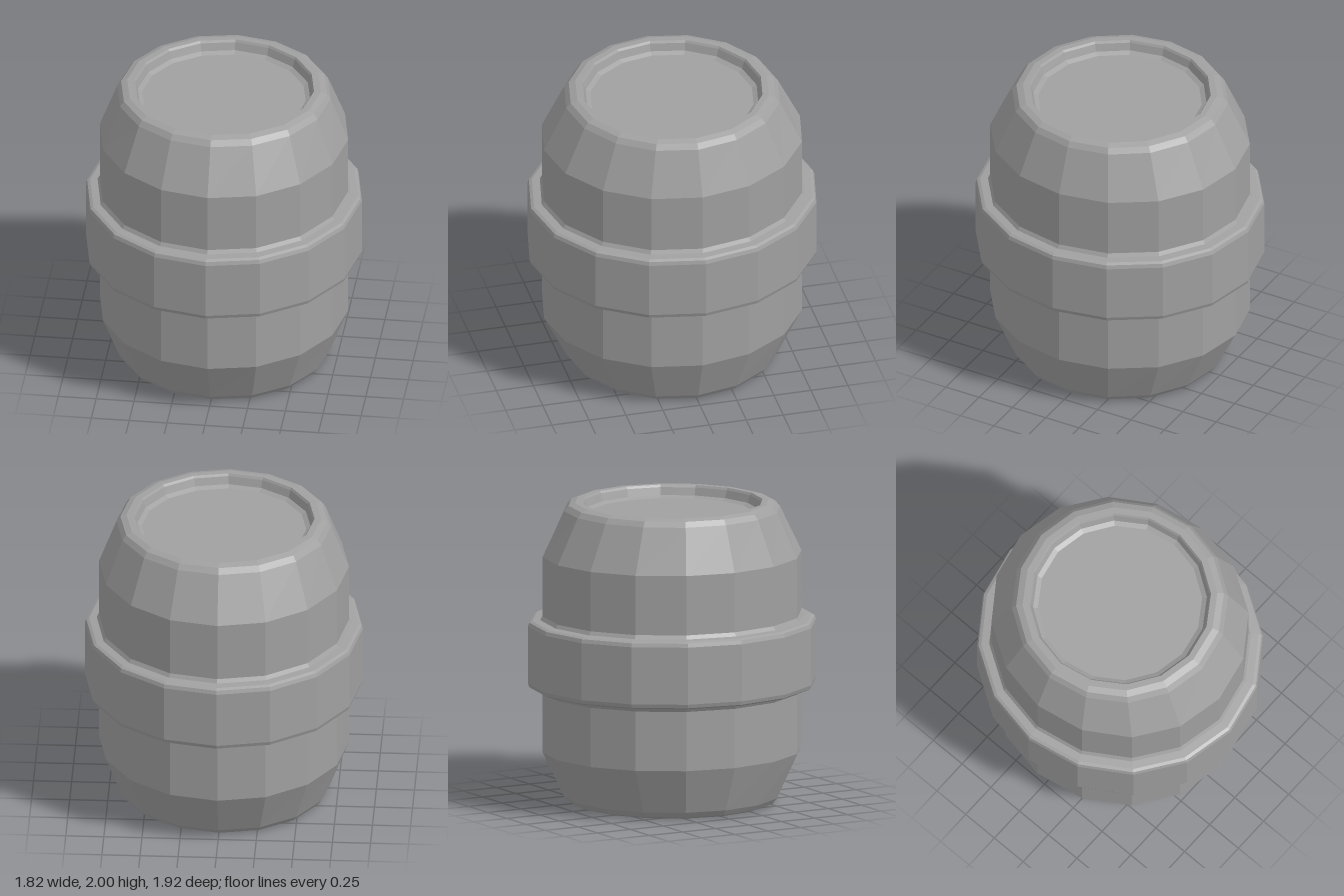
import * as THREE from 'three';

const SIDES = 16;

// Surface through a stack of 16-sided oval rings, each [radiusX, radiusZ, y], listed bottom to top
function ringSurface(rings) {
  const positions = [], index = [];
  for (const [rx, rz, y] of rings) {
    for (let i = 0; i < SIDES; i++) {
      const a = (i / SIDES) * Math.PI * 2;
      positions.push(Math.sin(a) * rx, y, Math.cos(a) * rz);
    }
  }
  for (let r = 0; r < rings.length - 1; r++) {
    for (let i = 0; i < SIDES; i++) {
      const j = (i + 1) % SIDES;
      const a = r * SIDES + i, b = r * SIDES + j;
      const c = a + SIDES, d = b + SIDES;
      index.push(a, b, d, a, d, c);
    }
  }
  const geometry = new THREE.BufferGeometry();
  geometry.setAttribute('position', new THREE.Float32BufferAttribute(positions, 3));
  geometry.setIndex(index);
  geometry.computeVertexNormals();
  return geometry;
}

export function createModel() {
  const grey = new THREE.MeshStandardMaterial({ color: 0xa0a0a0 });
  grey.name = 'grey';
  grey.flatShading = true;

  const model = new THREE.Group();
  model.name = 'barrel';
  const add = (name, geometry) => {
    const mesh = new THREE.Mesh(geometry, grey);
    mesh.name = name;
    model.add(mesh);
  };

  // Lower half, mirrored about y = 1 for the upper half
  const lower = [
    [0.64, 0.64, 0], [0.68, 0.685, 0.015], [0.705, 0.715, 0.05],
    [0.82, 0.865, 0.35], [0.82, 0.865, 0.745],
  ];
  const upper = lower.map(([x, z, y]) => [x, z, 2 - y]).reverse();

  // Base plate and lower body
  add('base', ringSurface([[0, 0, 0], lower[0]]));
  add('lowerBody', ringSurface(lower));

  // Raised band with small fillets and bevelled edges
  const edge = [
    [0.82, 0.865, 0.745], [0.835, 0.88, 0.77], [0.885, 0.933, 0.775],
    [0.904, 0.953, 0.785], [0.912, 0.962, 0.81],
  ];
  add('band', ringSurface([...edge, ...edge.map(([x, z, y]) => [x, z, 2 - y]).reverse()]));

  // Upper body, rim and recessed lid
  add('upperBody', ringSurface(upper));
  add('rim', ringSurface([
    [0.64, 0.64, 2], [0.595, 0.6, 2], [0.585, 0.59, 1.985],
    [0.57, 0.572, 1.935], [0.54, 0.54, 1.92],
  ]));
  add('lid', ringSurface([[0.54, 0.54, 1.92], [0, 0, 1.92]]));

  return model;
}
